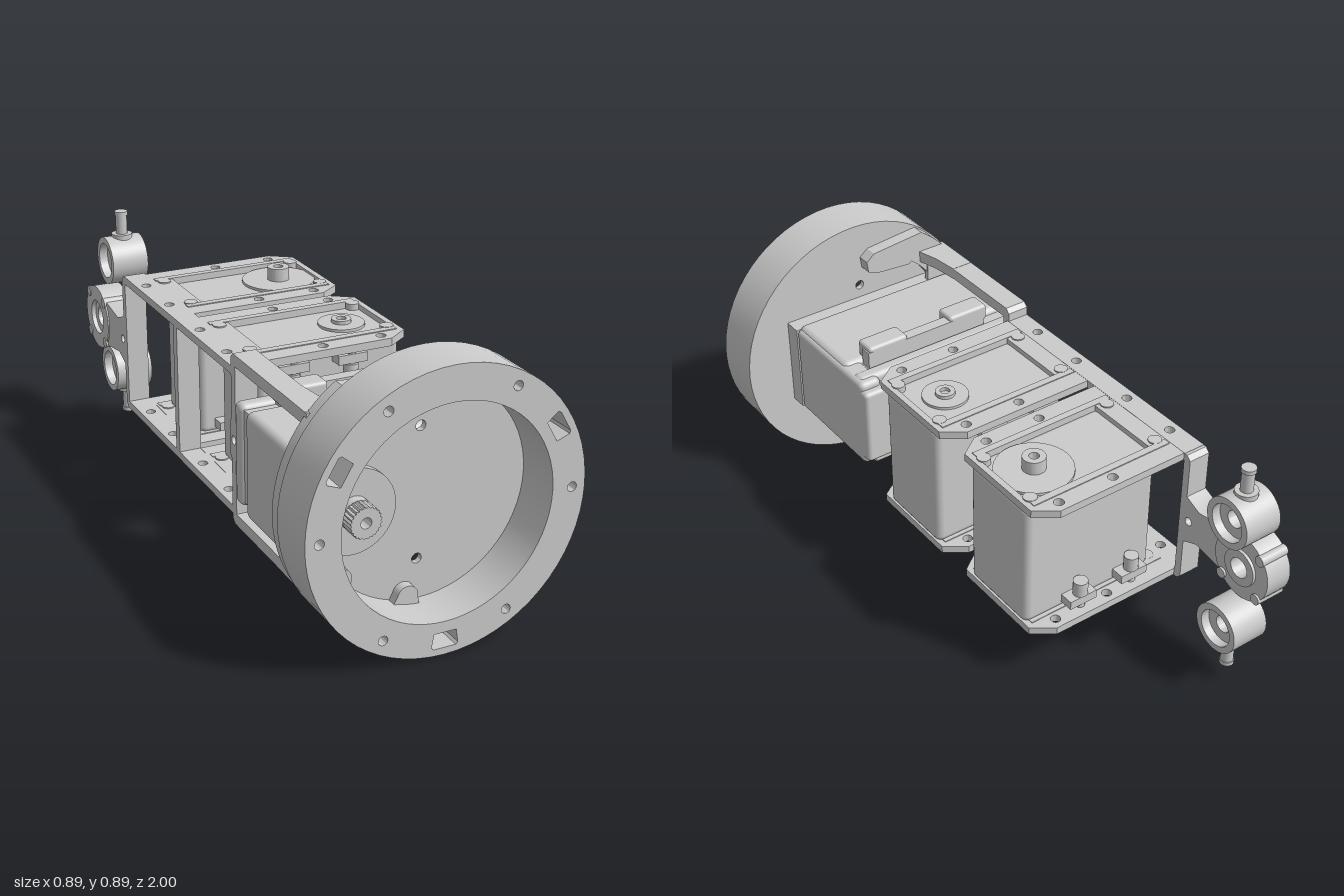
import * as THREE from 'three';
import { toCreasedNormals } from 'three/addons/utils/BufferGeometryUtils.js';
import { RoundedBoxGeometry } from 'three/addons/geometries/RoundedBoxGeometry.js';

const mat = new THREE.MeshStandardMaterial({ color: 0xcccccc });
const CY = 0.443;

export function createModel() {
  const root = new THREE.Group();
  const add = (name, geo, parent = root) => {
    const m = new THREE.Mesh(geo, mat);
    m.name = name;
    parent.add(m);
    return m;
  };
  const group = (name) => {
    const g = new THREE.Group();
    g.name = name;
    root.add(g);
    return g;
  };
  // box given by its limits on each axis, with optional rounded edges
  const box = (name, x0, x1, y0, y1, z0, z1, parent, r = 0) => {
    const s = [x1 - x0, y1 - y0, z1 - z0];
    const g = r ? new RoundedBoxGeometry(...s, 3, r) : new THREE.BoxGeometry(...s);
    g.translate((x0 + x1) / 2, (y0 + y1) / 2, (z0 + z1) / 2);
    return add(name, g, parent);
  };
  // cylinder centred at (x, y, z) along an axis
  const cyl = (name, axis, r, h, x, y, z, parent, r2 = r, n = 28) => {
    const g = new THREE.CylinderGeometry(r2, r, h, n);
    if (axis === 'x') g.rotateZ(-Math.PI / 2);
    if (axis === 'z') g.rotateX(Math.PI / 2);
    return add(name, g.translate(x, y, z), parent);
  };
  const poly = (pts, C = THREE.Shape) => new C(pts.map((p) => new THREE.Vector2(...p)));
  const rect = (x0, x1, y0, y1, C = THREE.Path) => poly([[x0, y0], [x1, y0], [x1, y1], [x0, y1]], C);
  const circle = (x, y, r, C = THREE.Path) => new C().absarc(x, y, r, 0, Math.PI * 2);
  const extrude = (shape, depth, seg = 20) =>
    toCreasedNormals(new THREE.ExtrudeGeometry(shape, { depth, bevelEnabled: false, curveSegments: seg }), 0.6);
  // profile drawn in (-z, y), extruded along x
  const sideways = (shape, x0, x1) => extrude(shape, x1 - x0).rotateY(Math.PI / 2).translate(x0, 0, 0);
  // profile drawn in (x, -z), extruded upward
  const upward = (shape, y0, y1) => extrude(shape, y1 - y0).rotateX(-Math.PI / 2).translate(0, y0, 0);

  // round front cup: rim with bolt holes and three pockets
  const cup = group('frontCup');
  const rim = circle(0, CY, 0.443, THREE.Shape);
  rim.holes.push(circle(0, CY, 0.335));
  for (let i = 0; i < 6; i++) {
    const a = (i * Math.PI) / 3;
    rim.holes.push(circle(0.4 * Math.cos(a), CY + 0.4 * Math.sin(a), 0.015));
  }
  for (const deg of [30, 150, 270]) {
    const a = (deg * Math.PI) / 180;
    const c = Math.cos(a), s = Math.sin(a);
    const corners = [[-0.025, -0.036], [0.018, -0.043], [0.025, -0.036], [0.025, 0.036], [0.018, 0.043], [-0.025, 0.036]];
    rim.holes.push(poly(corners.map(([u, v]) => [(0.395 + u) * c - v * s, CY + (0.395 + u) * s + v * c]), THREE.Path));
  }
  add('cupRim', extrude(rim, 0.16, 32).translate(0, 0, 0.84), cup);
  const floor = circle(0, CY, 0.443, THREE.Shape);
  floor.holes.push(circle(-0.013, 0.653, 0.016), circle(-0.013, 0.238, 0.016), circle(-0.4, CY, 0.014));
  add('cupFloor', extrude(floor, 0.02, 32).translate(0, 0, 0.83), cup);
  // low screw pads growing out of the cup wall
  for (const s of [-1, 1]) {
    for (const [x, dy] of [[-0.055, 0.305], [-0.27, 0.2]]) {
      const a = Math.atan2(s * dy, x);
      const pad = new THREE.Shape().absarc(0, 0, 0.034, Math.PI / 2, Math.PI * 1.5);
      pad.lineTo(0.045, -0.05).lineTo(0.045, 0.05);
      add('screwPad', extrude(pad, 0.035).rotateZ(a).translate(x, CY + s * dy, 0.845), cup);
    }
  }
  // turning horn on the cup floor, with a toothed shaft
  cyl('hornDisc', 'z', 0.132, 0.025, -0.23, CY, 0.86, cup, 0.132, 40);
  cyl('hornCollar', 'z', 0.05, 0.03, -0.23, CY, 0.885, cup, 0.048);
  const spline = poly([...Array(48).keys()].map((i) => {
    const a = (i * Math.PI) / 24, r = i % 2 ? 0.05 : 0.045;
    return [-0.23 + r * Math.cos(a), CY + r * Math.sin(a)];
  }));
  spline.holes.push(circle(-0.23, CY, 0.017));
  add('hornSpline', extrude(spline, 0.045).translate(0, 0, 0.9), cup);

  // crescent flange that ties the frame to the cup, with a screw tab at each end
  const flange = new THREE.Shape();
  const a0 = Math.PI * 0.69, a1 = Math.PI * 1.31;
  flange.absarc(0, CY, 0.437, a0, a1, false);
  for (const p of [[-0.05, 0.1], [-0.02, 0.125], [-0.025, 0.165], [-0.06, 0.18], [-0.19, 0.19]]) flange.lineTo(...p);
  flange.absarc(0, CY, 0.33, a1 - 0.06, a0 + 0.06, true);
  for (const p of [[-0.19, 0.696], [-0.06, 0.706], [-0.025, 0.721], [-0.02, 0.761], [-0.05, 0.786]]) flange.lineTo(...p);
  add('frameFlange', extrude(flange, 0.05).translate(0, 0, 0.785));

  // side frame: wide front bay, two narrow bays and a tapering tail
  const frame = group('sideFrame');
  const bay = poly([[-0.8, 0.17], [-0.31, 0.17], [-0.295, 0.185], [-0.295, 0.385], [-0.285, 0.395],
    [-0.285, 0.505], [-0.295, 0.515], [-0.295, 0.715], [-0.31, 0.73], [-0.8, 0.73]]);
  bay.holes.push(poly([[-0.78, 0.208], [-0.325, 0.208], [-0.325, 0.385], [-0.335, 0.395], [-0.335, 0.505],
    [-0.325, 0.515], [-0.325, 0.692], [-0.78, 0.692]], THREE.Path), circle(-0.31, 0.45, 0.014));
  add('frontBay', sideways(bay, -0.34, -0.265), frame);
  const tailPlate = poly([[0.595, 0.2], [0.607, 0.2], [0.622, 0.215], [0.622, 0.36], [0.68, 0.385], [0.8, 0.365],
    [0.8, 0.53], [0.68, 0.51], [0.622, 0.535], [0.622, 0.67], [0.607, 0.685], [0.595, 0.685]]);
  tailPlate.holes.push(circle(0.637, 0.447, 0.014));
  add('tailPlate', sideways(tailPlate, -0.34, -0.265), frame);
  box('middlePost', -0.34, -0.265, 0.21, 0.675, -0.16, -0.13, frame);
  for (const s of [-1, 1]) {
    const rail = rect(-0.34, -0.265, -0.3, 0.597, THREE.Shape);
    for (const z of [-0.48, -0.275, -0.02, 0.188]) rail.holes.push(circle(-0.305, -z, 0.016));
    const y = CY + s * 0.23;
    add('rail', upward(rail, y - 0.013, y + 0.013), frame);
    // curved foot where each rail meets the flange
    const foot = poly([[-0.34, -0.79], [-0.235, -0.79], [-0.24, -0.765], [-0.255, -0.71], [-0.265, -0.62], [-0.34, -0.62]]);
    const fy = 0.45 + s * 0.261;
    add('railFoot', upward(foot, fy - 0.02, fy + 0.02), frame);
  }

  // cross-mounted motors; flip = 1 has its horn on top, -1 underneath
  const motor = (name, zc, flip) => {
    const g = group(name);
    const h = 0.215;
    box('motorBody', -0.22, 0.268, CY - 0.225, CY + 0.225, zc - 0.143, zc + 0.143, g, 0.025);
    for (const s of [-1, 1]) {
      // mounting plate with chamfered outer corners and screw holes
      const plate = poly([[-0.268, -zc - h], [0.2, -zc - h], [0.27, -zc - h + 0.05],
        [0.27, -zc + h - 0.05], [0.2, -zc + h], [-0.268, -zc + h]]);
      plate.holes.push(rect(-0.2, 0.25, -zc - 0.13, -zc + 0.13));
      for (const x of [-0.02, 0.18])
        for (const dz of [-0.18, 0.18]) plate.holes.push(circle(x, -zc + dz, 0.016));
      const y = CY + s * 0.229;
      add('mountPlate', upward(plate, y - 0.013, y + 0.013), g);
      for (const dz of [-1, 1]) {
        box('plateLip', -0.26, 0.25, y - 0.016, y + 0.016, zc + dz * 0.142 - 0.012, zc + dz * 0.142 + 0.012, g);
        for (const x of [-0.235, 0.235]) cyl('cornerScrew', 'y', 0.022, 0.034, x, y, zc + dz * 0.115, g, 0.022, 16);
      }
      // horn disc and hub, larger on the driven side
      const big = s === flip;
      cyl('horn', 'y', big ? 0.123 : 0.075, 0.03, 0.135, CY + s * 0.219, zc, g, big ? 0.123 : 0.075, 36);
      const hub = circle(0.135, -zc, big ? 0.037 : 0.032, THREE.Shape);
      hub.holes.push(circle(0.135, -zc, 0.016));
      const ya = CY + s * 0.22, yb = CY + s * (big ? 0.278 : 0.246);
      add('hornHub', upward(hub, Math.min(ya, yb), Math.max(ya, yb)), g);
    }
    // mounting ears with screws on the side away from the driven horn
    const e = -flip;
    for (const dz of [-1, 1]) {
      for (const x of [-0.12, 0.08]) {
        cyl('earScrew', 'y', 0.024, 0.05, x, CY + e * 0.142, zc + dz * 0.172, g, 0.024, 16);
        cyl('earStem', 'y', 0.016, 0.1, x, CY + e * 0.18, zc + dz * 0.172, g, 0.016, 12);
      }
      for (const x of [-0.12, 0.08])
        box('motorEar', x - 0.05, x + 0.05, CY + e * 0.185 - 0.015, CY + e * 0.185 + 0.015, zc + dz * 0.16 - 0.03, zc + dz * 0.16 + 0.03, g);
    }
  };
  motor('middleMotor', 0.087, -1);
  motor('rearMotor', -0.378, 1);

  // front motor lying along z behind the cup
  const fm = group('frontMotor');
  box('motorBody', -0.38, 0.27, 0.275, 0.62, 0.475, 0.78, fm, 0.025);
  box('frontPlate', -0.38, 0.28, 0.29, 0.605, 0.77, 0.835, fm);
  box('motorWaist', -0.36, 0.26, 0.3, 0.6, 0.41, 0.48, fm);
  box('rearCover', -0.37, 0.27, 0.285, 0.615, 0.38, 0.435, fm, 0.02);
  box('rearCap', -0.04, 0.28, 0.31, 0.585, 0.333, 0.39, fm, 0.015);
  box('sidePanel', 0.2, 0.28, 0.285, 0.61, 0.36, 0.775, fm, 0.02);
  for (const s of [-1, 1]) {
    // ears above and below, with thicker screw blocks
    box('motorEar', -0.26, 0.2, CY + s * 0.19 - 0.03, CY + s * 0.19 + 0.03, 0.435, 0.475, fm);
    for (const x of [-0.2, 0.12])
      box('earBlock', x - 0.075, x + 0.075, CY + s * 0.205 - 0.03, CY + s * 0.205 + 0.03, 0.435, 0.51, fm, 0.012);
  }

  // tail hub: ring with a bearing and four screws
  const tail = group('tailHub');
  const ringAt = (name, y, r, hole, x0, x1, parent) => {
    const s = circle(0.885, y, r, THREE.Shape);
    s.holes.push(circle(0.885, y, hole));
    add(name, sideways(s, x0, x1), parent);
  };
  ringAt('hubRing', 0.447, 0.113, 0.06, -0.345, -0.255, tail);
  ringAt('hubBearing', 0.447, 0.062, 0.034, -0.33, -0.245, tail);
  for (let i = 0; i < 4; i++) {
    const a = Math.PI / 4 + (i * Math.PI) / 2;
    cyl('hubScrew', 'x', 0.018, 0.1, -0.298, 0.447 + 0.105 * Math.sin(a), -0.885 + 0.105 * Math.cos(a), tail, 0.018, 14);
  }

  // rod ends above and below the hub
  for (const s of [-1, 1]) {
    const g = group(s > 0 ? 'upperRodEnd' : 'lowerRodEnd');
    const y = 0.447 + s * 0.206;
    ringAt('rodEye', y, 0.084, 0.062, -0.305, -0.175, g);
    ringAt('rodBearing', y, 0.064, 0.028, -0.275, -0.205, g);
    cyl('rodCollar', 'y', 0.036, 0.024, -0.24, y + s * 0.082, -0.885, g);
    cyl('rodStud', 'y', 0.02, 0.1, -0.24, y + s * 0.12, -0.885, g, 0.02, 20);
    cyl('rodTip', 'y', 0.023, 0.014, -0.24, y + s * 0.168, -0.885, g, 0.023, 20);
  }
  return root;
}
